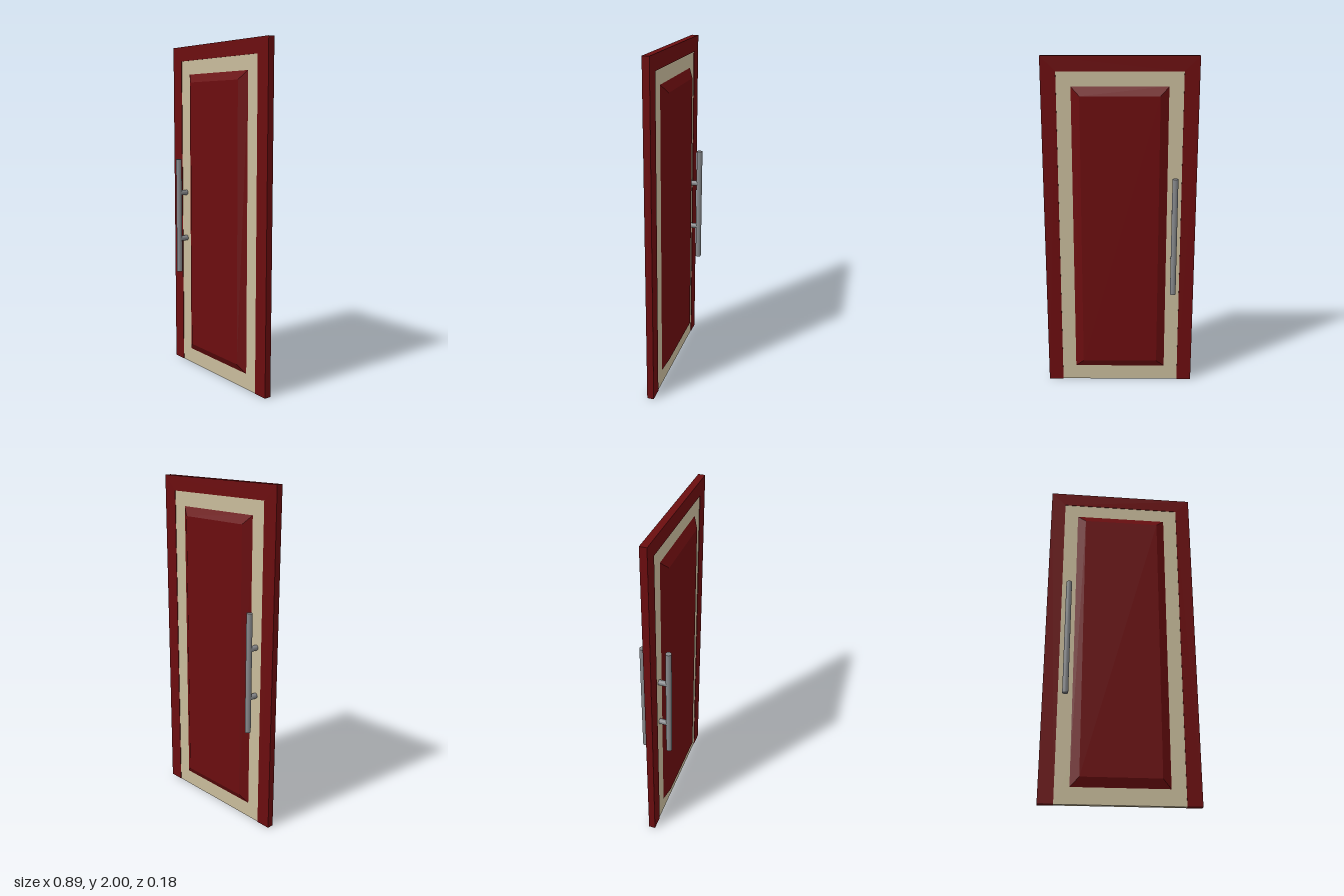
import * as THREE from 'three';

const mat = (name, color) => {
  const m = new THREE.MeshStandardMaterial({ color });
  m.name = name;
  return m;
};

export function createModel() {
  const red = mat('dark red', 0x6b0d0f);
  const cream = mat('cream', 0xc8bb9b);
  const metal = mat('grey metal', 0x85878a);
  const door = new THREE.Group();
  door.name = 'door';

  const add = (parent, name, geometry, material, x = 0, y = 0, z = 0) => {
    const mesh = new THREE.Mesh(geometry, material);
    mesh.name = name;
    mesh.position.set(x, y, z);
    parent.add(mesh);
    return mesh;
  };

  // Frame: two jambs and a head, open at the bottom
  const outline = [
    [-0.447, 0], [-0.36, 0], [-0.36, 1.914], [0.36, 1.914],
    [0.36, 0], [0.447, 0], [0.447, 2], [-0.447, 2],
  ];
  const frameShape = new THREE.Shape(outline.map(([x, y]) => new THREE.Vector2(x, y)));
  const frameGeo = new THREE.ExtrudeGeometry(frameShape, { depth: 0.04, bevelEnabled: false });
  add(door, 'frame', frameGeo, red, 0, 0, -0.02);

  // Leaf, set slightly back from the frame
  add(door, 'leaf', new THREE.BoxGeometry(0.72, 1.914, 0.034), cream, 0, 0.957, 0);

  // Raised panel: a box whose outer face is inset to form sloping edges
  const raisedPanel = () => {
    const w = 0.56, h = 1.744, inset = 0.053, depth = 0.033;
    const geo = new THREE.BoxGeometry(w, h, depth).toNonIndexed();
    const p = geo.attributes.position;
    for (let i = 0; i < p.count; i++) {
      if (p.getZ(i) > 0) {
        p.setX(i, p.getX(i) - Math.sign(p.getX(i)) * inset);
        p.setY(i, p.getY(i) - Math.sign(p.getY(i)) * inset);
      }
    }
    geo.computeVertexNormals();
    return geo;
  };

  // Panel and pull handle on both faces
  for (const [side, s] of [['front', 1], ['back', -1]]) {
    const panel = add(door, side + 'Panel', raisedPanel(), red, 0, 0.962, s * 0.0315);
    if (s < 0) panel.rotation.y = Math.PI;

    const handle = new THREE.Group();
    handle.name = side + 'Handle';
    handle.position.set(-0.319, 0.96, 0);
    door.add(handle);
    add(handle, 'bar', new THREE.CylinderGeometry(0.017, 0.017, 0.71, 32), metal, 0, 0, s * 0.074);
    for (const y of [-0.145, 0.145]) {
      const post = add(handle, 'post', new THREE.CylinderGeometry(0.016, 0.016, 0.06, 24), metal, 0, y, s * 0.044);
      post.rotation.x = Math.PI / 2;
    }
  }
  return door;
}
